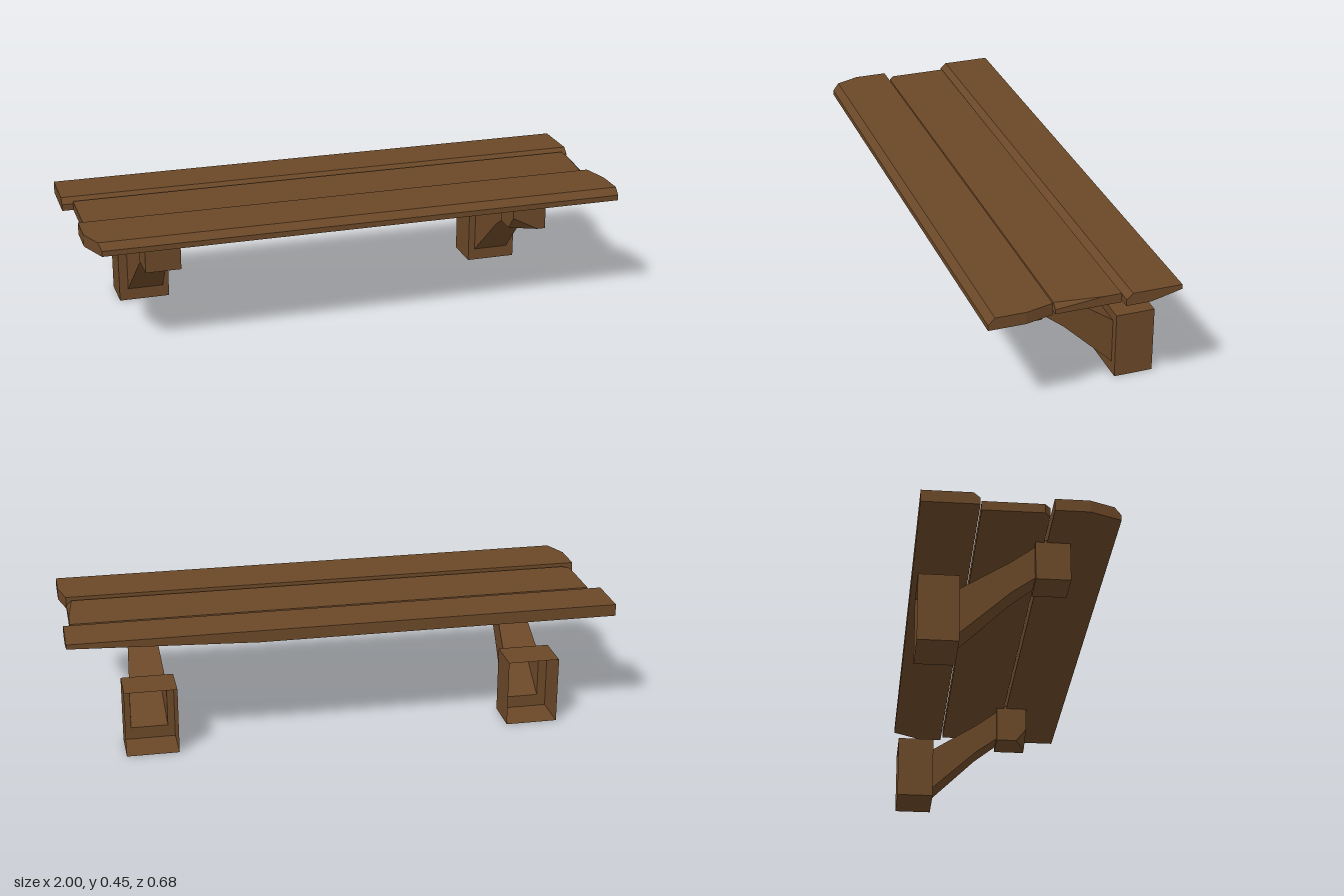
import * as THREE from 'three';
import { ConvexGeometry } from 'three/addons/geometries/ConvexGeometry.js';

const wood = new THREE.MeshStandardMaterial({ color: 0x6b4828, flatShading: true, side: THREE.DoubleSide });

// Convex block from its corner points
function block(name, points) {
  const mesh = new THREE.Mesh(new ConvexGeometry(points.map(p => new THREE.Vector3(...p))), wood);
  mesh.name = name;
  return mesh;
}

// Open shell of rectangular sections [x centre, half width, y low, y high, z]
function shell(name, sections) {
  const pos = [], index = [];
  for (const [x, w, y0, y1, z] of sections) {
    pos.push(x - w, y0, z, x + w, y0, z, x + w, y1, z, x - w, y1, z);
  }
  for (let s = 0; s < sections.length - 1; s++) {
    for (let i = 0; i < 4; i++) {
      const a = s * 4 + i, b = s * 4 + (i + 1) % 4;
      index.push(a, b, b + 4, a, b + 4, a + 4);
    }
  }
  const geometry = new THREE.BufferGeometry();
  geometry.setAttribute('position', new THREE.Float32BufferAttribute(pos, 3));
  geometry.setIndex(index);
  const flat = geometry.toNonIndexed();
  flat.computeVertexNormals();
  const mesh = new THREE.Mesh(flat, wood);
  mesh.name = name;
  return mesh;
}

// Bracket: hollow wall box, tapering bent arm, and block under the seat
function bracket(name, wallX, armX, chipped) {
  const group = new THREE.Group();
  group.name = name;
  group.add(shell('wallBoxAndArm', [
    [wallX, 0.095, 0, 0.247, -0.335],
    [wallX, 0.095, 0, 0.247, -0.193],
    [armX, 0.067, 0.045, 0.213, -0.193],
    [armX, 0.053, 0.215, 0.333, -0.015],
    [armX, 0.046, 0.28, 0.4, 0.07],
  ]));
  const x0 = armX - 0.065, x1 = armX + 0.065, y0 = 0.267, y1 = 0.42;
  const corners = [
    [x0, y0, 0.07], [x1, y0, 0.07], [x0, y1, 0.07], [x1, y1, 0.07],
    [x1, y0, 0.192], [x0, 0.41, 0.192], [x1, 0.41, 0.192],
    [x0, y1, 0.11], [x1, y1, 0.11],
  ];
  // One block has a chipped lower corner
  if (chipped) corners.push([x0, 0.32, 0.192], [x1 - 0.03, y0, 0.192], [x0, y0, 0.15]);
  else corners.push([x0, y0, 0.192]);
  group.add(block('supportBlock', corners));
  return group;
}

export function createModel() {
  const model = new THREE.Group();
  model.name = 'wallBench';

  // Front plank with a bevelled front edge and trimmed ends
  const front = [];
  for (const [x, z] of [[-0.98, 0.11], [-0.98, 0.23], [1, 0.21], [0.975, 0.11]]) {
    front.push([x, 0.41, z], [x, 0.454, z]);
  }
  for (const [l, y, z] of [[-0.935, 0.41, 0.342], [-0.935, 0.43, 0.342], [-0.944, 0.454, 0.318]]) {
    front.push([l, y, z], [1, y, z]);
  }
  model.add(block('frontPlank', front));

  // Middle plank, shaved on one end
  model.add(block('middlePlank', [
    [-0.96, 0.41, -0.134], [-0.96, 0.444, -0.134], [0.975, 0.41, -0.134], [0.975, 0.444, -0.134],
    [-0.96, 0.41, 0.08], [-0.96, 0.444, 0.08], [-0.935, 0.41, 0.1], [-0.935, 0.444, 0.1],
    [0.975, 0.41, 0.1], [0.975, 0.427, 0.1], [0.955, 0.444, 0.1], [0.975, 0.444, -0.07],
  ]));

  // Back plank with a bevelled front edge and a long chip underneath
  const back = [[-1, 0.408, -0.341], [0.32, 0.408, -0.341], [1, 0.435, -0.341], [1, 0.408, -0.23]];
  for (const x of [-1, 1]) {
    back.push([x, 0.452, -0.341], [x, 0.452, -0.164], [x, 0.432, -0.141], [x, 0.408, -0.141]);
  }
  model.add(block('backPlank', back));

  // Wall brackets
  model.add(bracket('rightBracket', -0.7, -0.695, false));
  model.add(bracket('leftBracket', 0.713, 0.711, true));
  return model;
}
